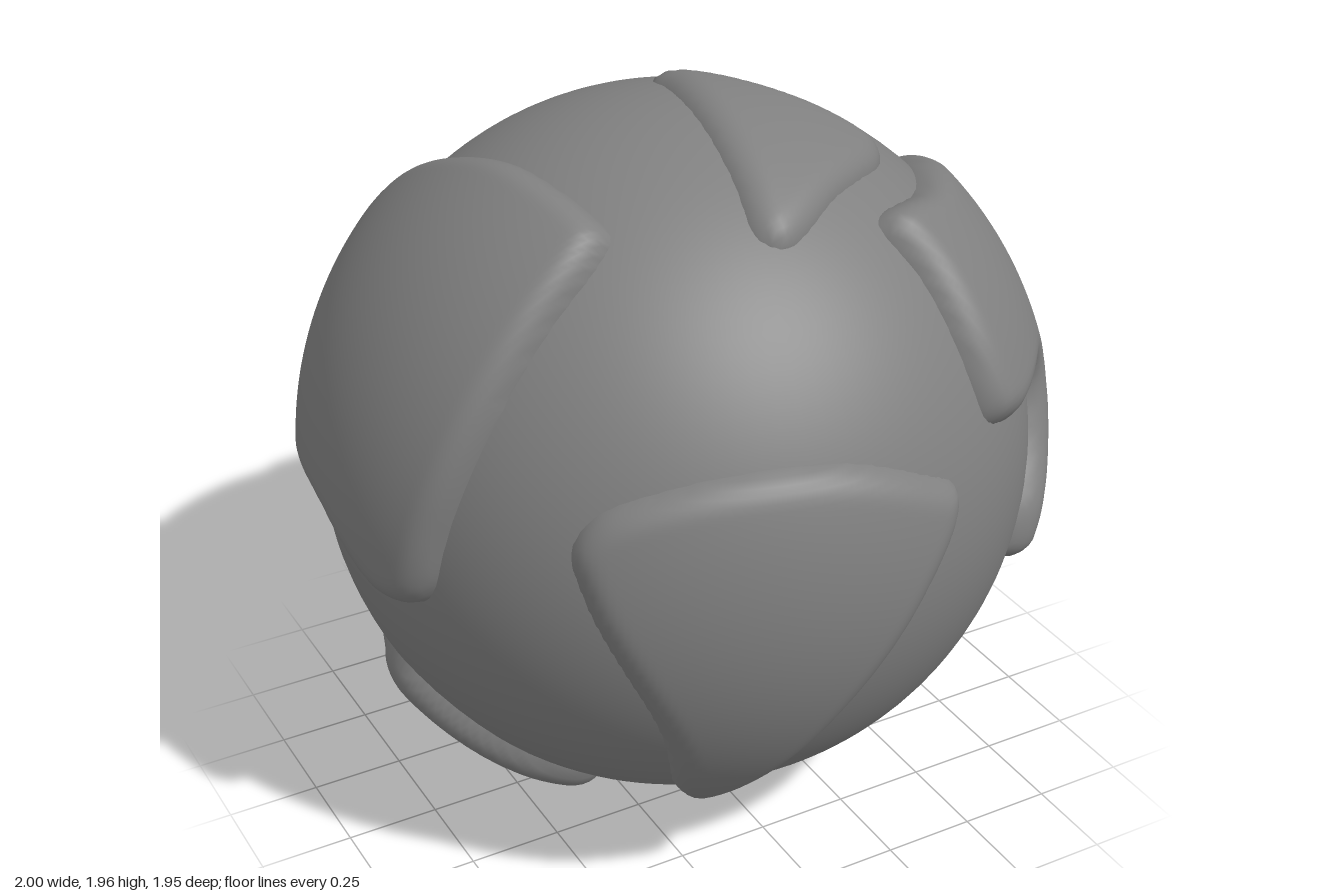
import * as THREE from 'three';

const R = 0.938;        // ball radius
const STEP = 0.02;      // patch grid spacing, in radians
const BEVEL = 0.09;     // width of the rounded patch rim, in radians
const material = new THREE.MeshStandardMaterial({ color: 0x808080 });

// Each patch: thickness and outline corners as directions from the ball's centre
const patches = {
  frontPatch: [0.043, [
    [-.63, .18, .65], [-.57, .27, .67], [-.4, .34, .75], [-.2, .365, .82], [0, .34, .85], [.2, .26, .87],
    [.29, .2, .85], [.29, .13, .86], [.18, -.05, .9], [0, -.33, .86], [-.12, -.57, .71], [-.19, -.71, .55],
    [-.25, -.725, .5], [-.32, -.65, .57], [-.45, -.33, .73], [-.61, .05, .68]]],
  notchedLeftPatch: [0.062, [
    [.29, .75, .5], [.5, .73, .35], [.64, .675, .1], [.74, .565, -.15], [.8, .32, -.32], [.79, .08, -.47],
    [.78, -.02, -.5], [.8, -.07, -.44], [.87, -.11, -.25], [.89, -.22, -.08], [.86, -.3, .12], [.8, -.33, .32],
    [.7, -.31, .5], [.64, -.24, .61], [.67, -.12, .61], [.76, .03, .52], [.77, .16, .48], [.72, .23, .52],
    [.53, .24, .72], [.44, .28, .76], [.4, .42, .73], [.34, .62, .6]]],
  topPatch: [0.037, [
    [.05, .9, -.21], [.12, .9, -.19], [.25, .88, -.05], [.46, .77, .18], [.44, .76, .26], [.2, .78, .43],
    [0, .74, .54], [-.06, .76, .5], [-.04, .85, .35], [0, .91, .1], [.03, .91, -.1]]],
  branchedRightPatch: [0.062, [
    [-.36, .8, .35], [-.4, .83, .03], [-.44, .77, -.2], [-.48, .67, -.4], [-.54, .4, -.63], [-.47, .23, -.77],
    [-.42, .15, -.81], [-.62, -.06, -.68], [-.62, -.24, -.63], [-.32, -.59, -.6], [-.33, -.68, -.51],
    [-.45, -.74, -.3], [-.35, -.85, 0], [-.35, -.82, .25], [-.5, -.73, .3], [-.72, -.56, .25], [-.82, -.44, .08],
    [-.8, -.47, -.1], [-.74, -.49, -.22], [-.67, -.45, -.45], [-.75, -.21, -.5], [-.8, -.08, -.42],
    [-.91, 0, -.08], [-.9, -.11, .22], [-.87, -.06, .35], [-.8, .17, .4], [-.7, .42, .43], [-.55, .63, .42],
    [-.42, .77, .4]]],
  backCrescent: [0.037, [
    [.46, .75, -.4], [.47, .63, -.5], [.47, .37, -.7], [.43, .1, -.81], [.54, -.17, -.73], [.63, -.33, -.55],
    [.71, -.43, -.4], [.69, -.52, -.34], [.57, -.58, -.42], [.42, -.56, -.59], [.2, -.25, -.86],
    [.07, -.03, -.92], [-.12, .25, -.88], [-.13, .39, -.83], [.19, .64, -.63], [.37, .74, -.45]]],
  bottomPatch: [0.078, [
    [.77, -.52, -.06], [.68, -.62, .14], [.5, -.71, .31], [.28, -.8, .37], [.12, -.85, .33], [.09, -.9, .18],
    [.17, -.9, -.08], [.36, -.84, -.07], [.56, -.73, -.04], [.7, -.6, -.09]]],
  backNub: [0.05, [
    [.24, -.64, -.58], [.2, -.51, -.71], [.08, -.52, -.79], [.01, -.65, -.75], [.04, -.71, -.68], [.18, -.71, -.57]]],
};

// Signed distance (positive inside) and nearest point on a closed outline
function nearest(p, outline) {
  let best = Infinity, bx = 0, by = 0, inside = false;
  for (let i = 0, j = outline.length - 1; i < outline.length; j = i++) {
    const a = outline[j], b = outline[i];
    const ex = b.x - a.x, ey = b.y - a.y;
    const t = THREE.MathUtils.clamp(((p.x - a.x) * ex + (p.y - a.y) * ey) / (ex * ex + ey * ey || 1), 0, 1);
    const qx = a.x + ex * t, qy = a.y + ey * t;
    const d = Math.hypot(p.x - qx, p.y - qy);
    if (d < best) { best = d; bx = qx; by = qy; }
    if ((a.y > p.y) !== (b.y > p.y) && p.x < a.x + ex * (p.y - a.y) / ey) inside = !inside;
  }
  return { d: inside ? best : -best, x: bx, y: by };
}

// Raised patch: a grid wrapped on the ball, clipped to the outline, with a rounded rim
function patchGeometry(thickness, corners) {
  const dirs = corners.map(c => new THREE.Vector3(...c).normalize());
  const centre = dirs.reduce((s, v) => s.add(v), new THREE.Vector3()).normalize();
  const turn = new THREE.Quaternion().setFromUnitVectors(new THREE.Vector3(0, 0, 1), centre);
  const back = turn.clone().invert();

  // Flatten the outline around the patch centre, keeping distances
  const flat = dirs.map(v => {
    const q = v.clone().applyQuaternion(back);
    const k = Math.acos(THREE.MathUtils.clamp(q.z, -1, 1)) / (Math.hypot(q.x, q.y) || 1);
    return new THREE.Vector3(q.x * k, q.y * k, 0);
  });
  const outline = new THREE.CatmullRomCurve3(flat, true, 'centripetal').getPoints(flat.length * 7);
  outline.pop();
  const box = new THREE.Box3().setFromPoints(outline).expandByScalar(STEP * 1.5);
  const nx = Math.ceil((box.max.x - box.min.x) / STEP), ny = Math.ceil((box.max.y - box.min.y) / STEP);

  const positions = [], inside = [], index = [];
  for (let j = 0; j <= ny; j++) for (let i = 0; i <= nx; i++) {
    const p = { x: box.min.x + i * STEP, y: box.min.y + j * STEP };
    const n = nearest(p, outline);
    inside.push(n.d > 0);
    if (n.d <= 0) { p.x = n.x; p.y = n.y; }   // rim vertices snap to the outline
    const t = THREE.MathUtils.clamp(n.d / BEVEL, 0, 1);
    const r = R - 0.01 + (thickness + 0.01) * Math.pow(1 - (1 - t) ** 2, 0.7);
    const a = Math.hypot(p.x, p.y), s = a > 1e-6 ? Math.sin(a) / a : 1;
    const v = new THREE.Vector3(p.x * s, p.y * s, Math.cos(a)).applyQuaternion(turn).multiplyScalar(r);
    positions.push(v.x, v.y, v.z);
  }
  for (let j = 0; j < ny; j++) for (let i = 0; i < nx; i++) {
    const a = j * (nx + 1) + i, b = a + 1, c = a + nx + 1, d = c + 1;
    for (const tri of [[a, b, d], [a, d, c]]) if (tri.some(k => inside[k])) index.push(...tri);
  }
  const g = new THREE.BufferGeometry();
  g.setAttribute('position', new THREE.Float32BufferAttribute(positions, 3));
  g.setIndex(index);
  g.computeVertexNormals();
  return g;
}

export function createModel() {
  const model = new THREE.Group();
  model.name = 'patchedBall';

  const ball = new THREE.Mesh(new THREE.SphereGeometry(R, 96, 64), material);
  ball.name = 'ball';
  model.add(ball);

  for (const [name, [thickness, corners]] of Object.entries(patches)) {
    const mesh = new THREE.Mesh(patchGeometry(thickness, corners), material);
    mesh.name = name;
    model.add(mesh);
  }

  // Rest on the ground
  model.position.y = -new THREE.Box3().setFromObject(model, true).min.y;
  return model;
}
